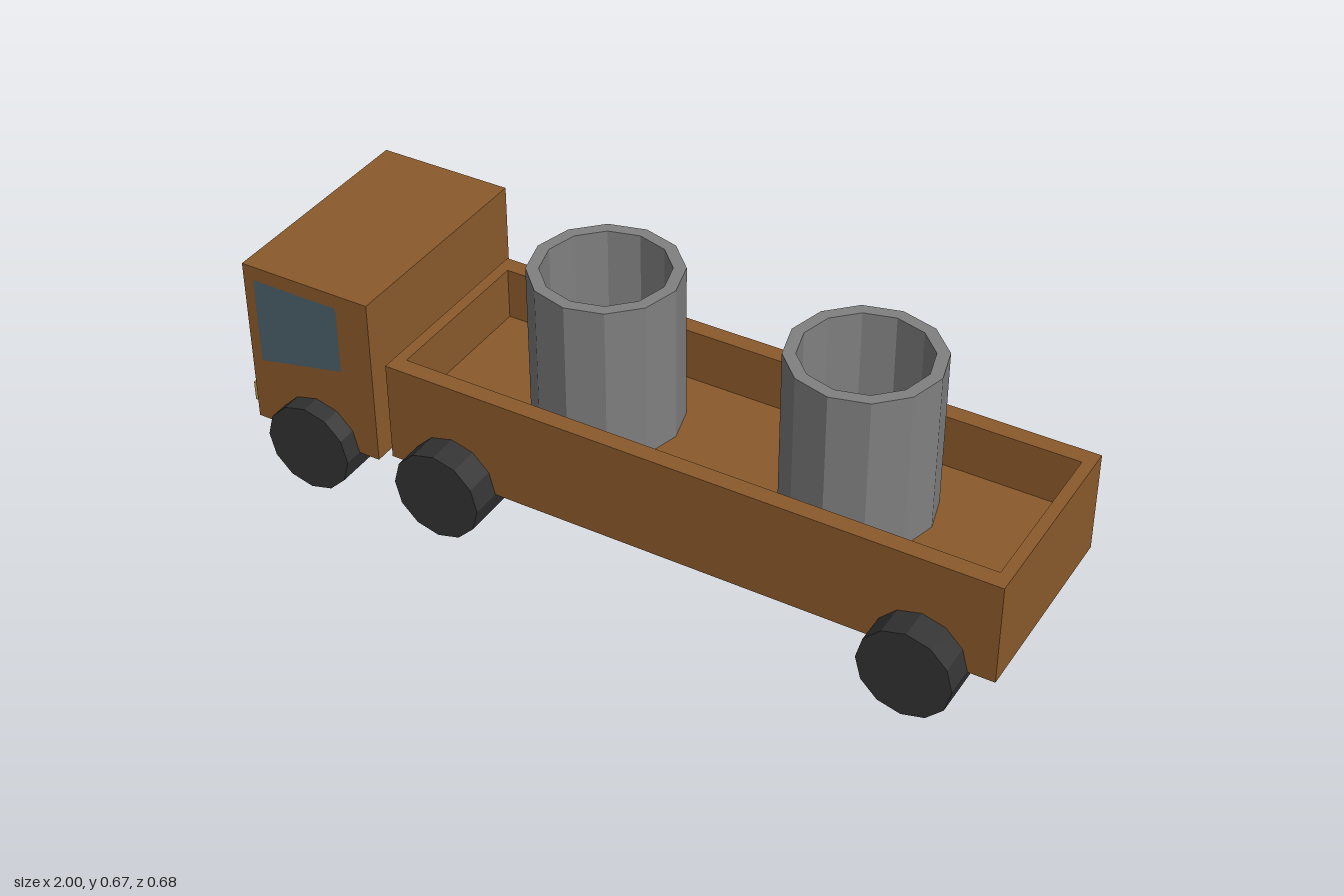
import * as THREE from 'three';

const mat = (color, side = THREE.FrontSide) =>
  new THREE.MeshStandardMaterial({ color, flatShading: true, side });

export function createModel() {
  const model = new THREE.Group();
  model.name = 'flatbedTruck';
  const truck = new THREE.Group();
  truck.name = 'truck';
  truck.rotation.x = 0.008; // slight lean on its wheels
  model.add(truck);

  const wood = mat(0x8b5a2b);
  const rubber = mat(0x333333);
  const concrete = mat(0x808080);
  const glass = mat(0x4c616c, THREE.DoubleSide);
  const lamp = mat(0xb8a04c);

  const add = (name, geometry, material) => {
    const mesh = new THREE.Mesh(geometry, material);
    mesh.name = name;
    truck.add(mesh);
    return mesh;
  };
  // Box given by its lower and upper corners
  const box = (name, material, [x0, y0, z0], [x1, y1, z1]) => {
    const mesh = add(name, new THREE.BoxGeometry(x1 - x0, y1 - y0, z1 - z0), material);
    mesh.position.set((x0 + x1) / 2, (y0 + y1) / 2, (z0 + z1) / 2);
    return mesh;
  };
  const polygon = (points) =>
    new THREE.ShapeGeometry(new THREE.Shape(points.map(([x, y]) => new THREE.Vector2(x, y))));

  // Cab
  box('cab', wood, [-0.98, 0.12, -0.307], [-0.62, 0.572, 0.287]);

  // Side windows with a sloping sill
  for (const [name, z] of [['leftWindow', 0.289], ['rightWindow', -0.309]]) {
    const sill = [[-0.95, 0.3], [-0.71, 0.352], [-0.71, 0.535], [-0.95, 0.535]];
    add(name, polygon(sill), glass).position.z = z;
  }

  // Windscreen
  const screen = add('windscreen', new THREE.PlaneGeometry(0.49, 0.215), glass);
  screen.rotation.y = -Math.PI / 2;
  screen.position.set(-0.982, 0.428, -0.01);

  // Headlights
  for (const z of [-0.203, 0.194]) {
    box('headlight', lamp, [-1, 0.152, z - 0.078], [-0.978, 0.205, z + 0.078]);
  }

  // Open cargo bed: floor slab and a rim extruded with a hole
  const [zBack, zFront] = [-0.272, 0.258];
  box('bedFloor', wood, [-0.599, 0.1205, zBack + 0.001], [0.999, 0.25, zFront - 0.001]);
  const rim = new THREE.Shape([
    new THREE.Vector2(-0.6, zBack), new THREE.Vector2(1, zBack),
    new THREE.Vector2(1, zFront), new THREE.Vector2(-0.6, zFront),
  ]);
  rim.holes.push(new THREE.Path([
    new THREE.Vector2(-0.57, zBack + 0.045), new THREE.Vector2(-0.57, zFront - 0.045),
    new THREE.Vector2(0.97, zFront - 0.045), new THREE.Vector2(0.97, zBack + 0.045),
  ]));
  const rimGeometry = new THREE.ExtrudeGeometry(rim, { depth: 0.27, bevelEnabled: false });
  rimGeometry.rotateX(Math.PI / 2); // shape y becomes z, depth goes down
  add('bedWalls', rimGeometry, wood).position.y = 0.39;

  // Concrete pipes standing in the bed
  const [inner, outer, bottom, top] = [0.155, 0.186, 0.25, 0.668];
  const profile = [[inner, bottom], [outer, bottom], [outer, top], [inner, top], [inner, bottom]]
    .map(([r, y]) => new THREE.Vector2(r, y));
  for (const x of [-0.145, 0.525]) {
    add('pipe', new THREE.LatheGeometry(profile, 12), concrete).position.set(x, 0, -0.008);
  }

  // Three pairs of wheels
  const wheel = new THREE.CylinderGeometry(0.118, 0.118, 0.19, 12).rotateX(Math.PI / 2);
  for (const x of [-0.795, -0.42, 0.815]) {
    for (const side of [-1, 1]) {
      add('wheel', wheel, rubber).position.set(x, 0.121, side * 0.243 - 0.001);
    }
  }

  return model;
}
